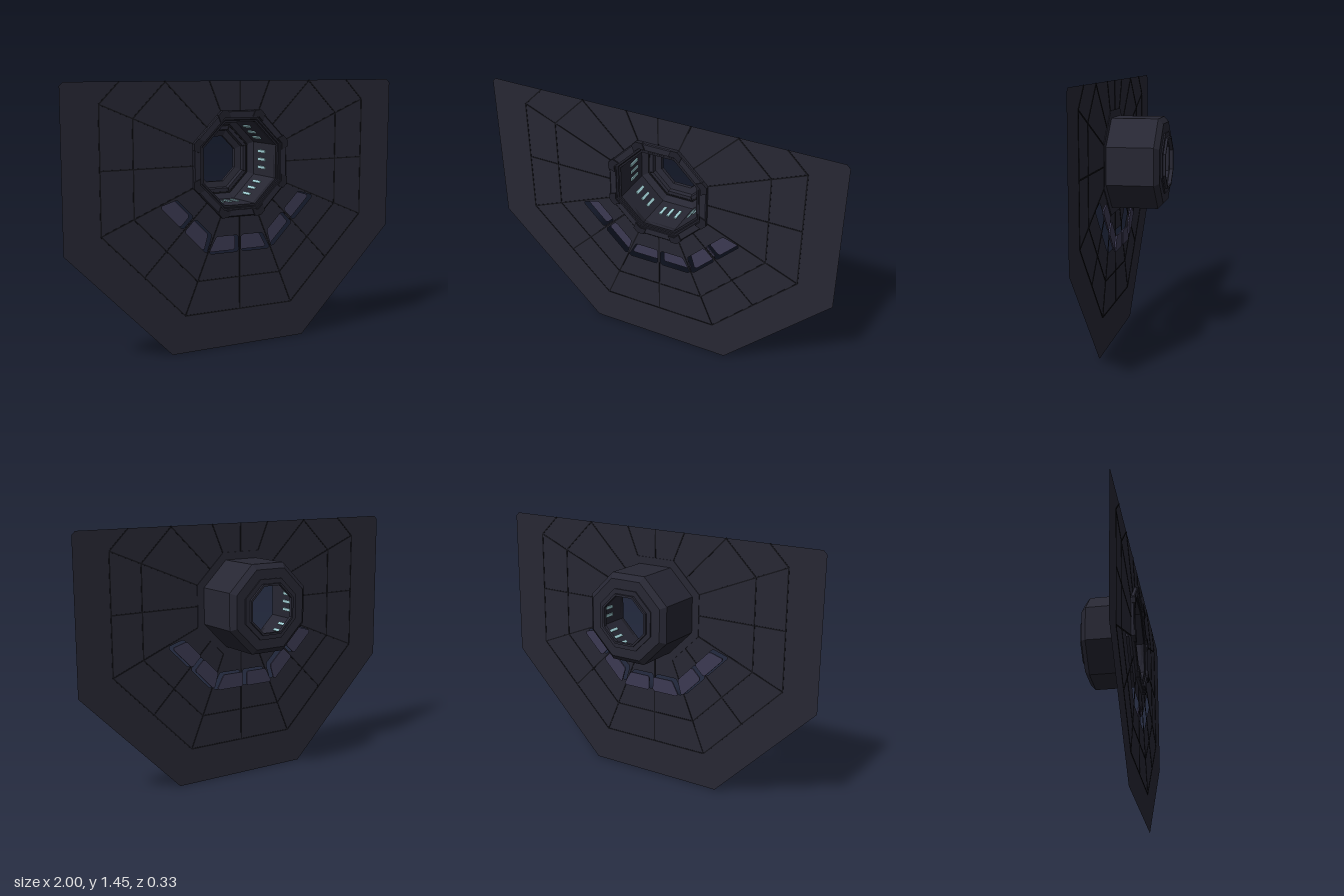
import * as THREE from 'three';

const CY = 1.003, PLATE_Z = 0.14, TOP = 1.445, STEP = Math.PI / 4;
const K = Math.tan(Math.PI / 8);

const mat = (name, color, side = THREE.FrontSide) => {
  const m = new THREE.MeshStandardMaterial({ color, side });
  m.name = name;
  return m;
};

// eight-sided solid of revolution about z; profile holds [apothem, z] pairs
function octLathe(profile) {
  const pts = profile.map(([a, z]) => new THREE.Vector2(a / Math.cos(Math.PI / 8), z));
  const g = new THREE.LatheGeometry(pts, 8, Math.PI / 8).rotateX(Math.PI / 2).toNonIndexed();
  g.computeVertexNormals();
  return g;
}

// point on an octagon side: apothem a, offset t along the side, side facing angle
const onSide = (angle, a, t) => new THREE.Vector2(
  a * Math.cos(angle) - t * Math.sin(angle),
  a * Math.sin(angle) + t * Math.cos(angle));

// chamfered trapezoid window outline; grow widens it, s picks the half of the side
function windowPoints(angle, s, grow) {
  const a0 = 0.392 - grow, a1 = 0.475 + grow, t0 = 0.013 - grow, c = 0.01;
  const e0 = a0 * K - 0.016 + grow, e1 = a1 * K - 0.016 + grow;
  return [[a0, t0 + c], [a0, e0 - c], [a0 + c, e0], [a1 - c, e1], [a1, e1 - c],
    [a1, t0 + c], [a1 - c, t0], [a0 + c, t0]].map(([a, t]) => onSide(angle, a, s * t));
}

export function createModel() {
  const root = new THREE.Group();
  const hull = mat('dark hull', 0x272733);
  const plateMat = mat('dark wall', 0x272733, THREE.DoubleSide);
  const seam = mat('black seam', 0x14141a);
  const trim = mat('charcoal trim', 0x1f1f29);
  const glass = mat('violet glass', 0x3b3952);
  const glow = mat('pale teal light', 0x9fcdd3);

  // everything is laid out around the porthole centre
  const body = new THREE.Group();
  body.name = 'portholeWall';
  body.position.y = CY;
  root.add(body);
  const add = (geo, m, name, parent = body) => {
    const mesh = new THREE.Mesh(geo, m);
    mesh.name = name;
    parent.add(mesh);
    return mesh;
  };

  // wall plate with porthole and six window openings
  const wall = new THREE.Shape([[-0.41, 0], [0.41, 0], [1, 0.59], [1, 1.425], [0.98, TOP],
    [-0.98, TOP], [-1, 1.425], [-1, 0.59]].map(([x, y]) => new THREE.Vector2(x, y - CY)));
  wall.holes.push(new THREE.Path(Array.from({ length: 8 }, (_, i) => onSide(i * STEP, 0.235, 0.235 * K))));
  for (const side of [5, 6, 7]) {
    for (const s of [-1, 1]) {
      wall.holes.push(new THREE.Path(windowPoints(side * STEP, s, 0.004)));
      // glass pane set behind the opening
      const pane = new THREE.ExtrudeGeometry(new THREE.Shape(windowPoints(side * STEP, s, 0)),
        { depth: 0.008, bevelEnabled: false });
      add(pane, glass, 'windowPane').position.z = 0.1;
    }
  }
  add(new THREE.ShapeGeometry(wall), plateMat, 'wallPlate').position.z = PLATE_Z;

  // panel seams, cut off at the top edge of the wall
  const seams = new THREE.Group();
  seams.name = 'panelSeams';
  body.add(seams);
  function strip(p, q) {
    const limit = TOP - CY;
    let a = p.clone(), b = q.clone();
    if (a.y > b.y) [a, b] = [b, a];
    if (a.y >= limit) return;
    if (b.y > limit) b.lerpVectors(a, b.clone(), (limit - a.y) / (b.y - a.y));
    const d = b.clone().sub(a);
    const m = add(new THREE.BoxGeometry(d.length(), 0.007, 0.004), seam, 'seam', seams);
    m.position.set((a.x + b.x) / 2, (a.y + b.y) / 2, PLATE_Z);
    m.rotation.z = Math.atan2(d.y, d.x);
  }
  for (let i = 0; i < 8; i++) {
    const ang = i * STEP;
    strip(onSide(ang, 0.27, 0), onSide(ang, 0.8, 0));
    strip(onSide(ang, 0.27, 0.27 * K), onSide(ang, 0.8, 0.8 * K));
    for (const a of [0.62, 0.8]) strip(onSide(ang, a, -a * K), onSide(ang, a, a * K));
  }

  // octagonal tunnel: outer shell and stepped back collar
  add(octLathe([[0.127, -0.165], [0.138, -0.165], [0.138, -0.152], [0.163, -0.152], [0.163, -0.145],
    [0.215, -0.145], [0.243, -0.118], [0.243, 0.14]]), hull, 'tunnelShell');
  // tunnel lining, from the front flange back to the aperture
  add(octLathe([[0.222, 0.14], [0.222, -0.09], [0.19, -0.115], [0.165, -0.115],
    [0.16, -0.135], [0.127, -0.145], [0.127, -0.165]]), hull, 'tunnelLining');
  // front flange and dark inner rim
  add(octLathe([[0.243, 0.136], [0.284, 0.136], [0.284, 0.155], [0.279, 0.159], [0.246, 0.159],
    [0.246, 0.151]]), hull, 'frontFlange');
  add(octLathe([[0.246, 0.151], [0.236, 0.151], [0.232, 0.146], [0.222, 0.146], [0.222, 0.12]]),
    trim, 'innerRim');
  // dark band round the back of the lining
  add(octLathe([[0.192, -0.112], [0.184, -0.112], [0.184, -0.118]]), seam, 'liningBand');

  for (let i = 0; i < 8; i++) {
    const ang = i * STEP, t = 0.036, ai = 0.25, ao = 0.286;
    // corner bracket wrapping two neighbouring flange sides
    const bracket = new THREE.Shape([
      onSide(ang, ai, ai * K - t), onSide(ang, ao, ao * K - t), onSide(ang, ao, ao * K),
      onSide(ang + STEP, ao, t - ao * K), onSide(ang + STEP, ai, t - ai * K), onSide(ang, ai, ai * K)]);
    add(new THREE.ExtrudeGeometry(bracket, { depth: 0.018, bevelEnabled: false }), trim,
      'cornerBracket').position.z = 0.147;

    const side = new THREE.Group();
    side.name = 'tunnelSide';
    side.rotation.z = ang;
    body.add(side);
    // three short light bars on each lining wall
    for (const k of [-1, 0, 1]) {
      add(new THREE.BoxGeometry(0.008, 0.016, 0.075), glow, 'lightBar', side)
        .position.set(0.22, k * 0.045, 0.0);
    }
    // seam on the back wall at each corner
    const ray = new THREE.Group();
    ray.name = 'backWallSeam';
    ray.rotation.z = ang + STEP / 2;
    body.add(ray);
    add(new THREE.BoxGeometry(0.03, 0.005, 0.005), seam, 'cornerSeam', ray).position.set(0.192, 0, -0.114);
  }
  return root;
}
